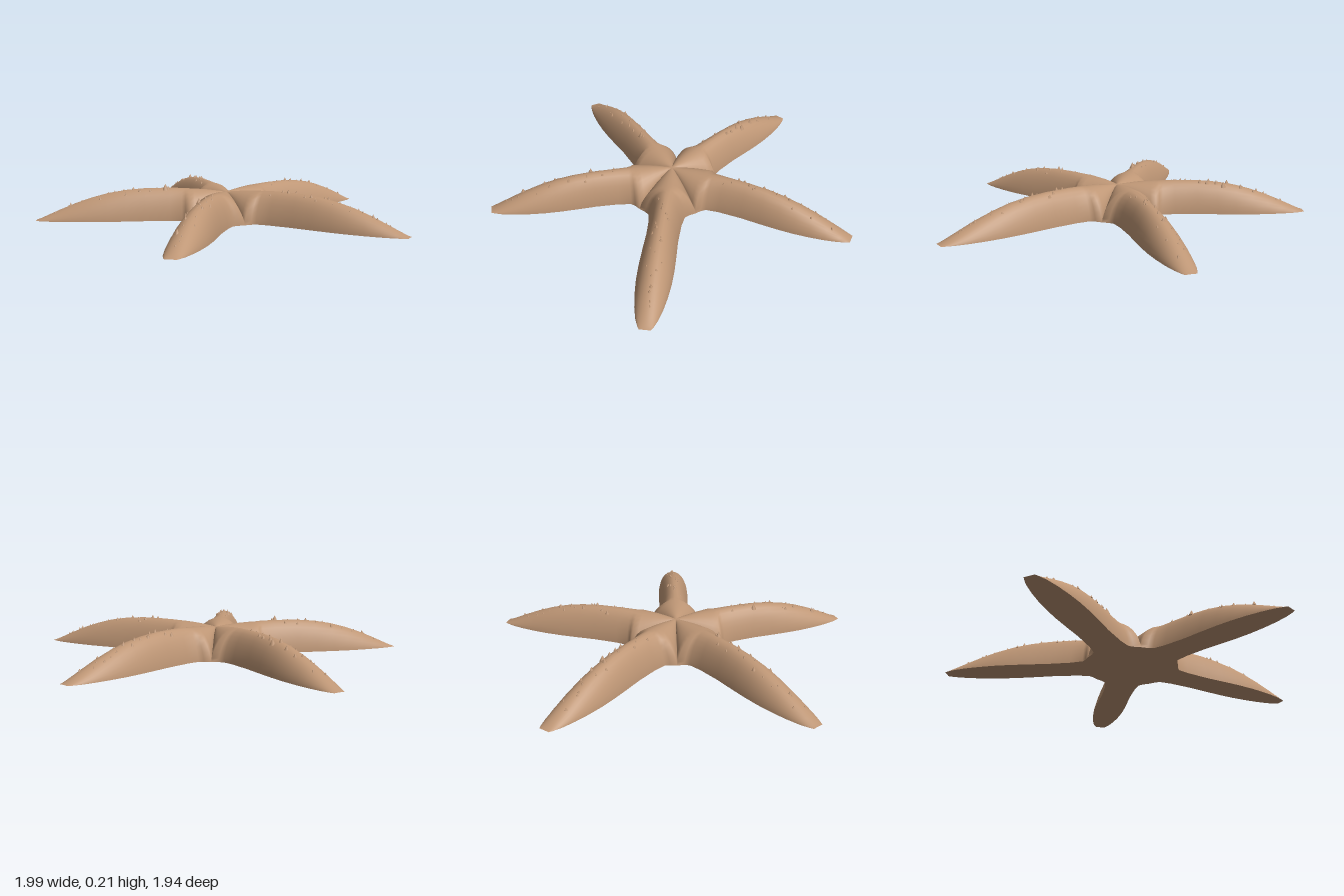
import * as THREE from 'three';
import { mergeGeometries, mergeVertices } from 'three/addons/utils/BufferGeometryUtils.js';

const CX = -0.065, CZ = -0.03, BASE = 0.01, RIM = 0.21;
const TAN = Math.tan(Math.PI / 5);
const LENGTHS = [1.06, 1.01, 1.05, 1.038, 1.03];
const armAngle = (k) => THREE.MathUtils.degToRad(7.5 + 72 * k);

// distance along the arm, half width, ridge height
const STATIONS = [
  [0, 0, 0.155], [0.03, 0, 0.16], [0.07, 0, 0.165], [0.11, 0, 0.17], [0.15, 0, 0.173], [0.18, 0, 0.175],
  [RIM, 0, 0.177], [0.23, 0.12, 0.178], [0.25, 0.1, 0.18], [0.32, 0.089, 0.182], [0.45, 0.085, 0.181],
  [0.56, 0.089, 0.172], [0.66, 0.091, 0.155], [0.75, 0.089, 0.131], [0.84, 0.081, 0.1],
  [0.92, 0.069, 0.067], [0.99, 0.053, 0.036], [1.03, 0.038, 0.018], [1.05, 0.028, 0.011],
].map(([s, w, h]) => [s, s <= RIM ? s * TAN : w, h]);

// stretch the free part of an arm to its own length
const stretch = (s, k) => (s <= 0.25 ? s : 0.25 + (s - 0.25) * (LENGTHS[k] - 0.25) / 0.8);

// position from arm coordinates: s along, w across
function place(k, s, w, y) {
  const a = armAngle(k), r = stretch(s, k);
  return [CX + r * Math.cos(a) - w * Math.sin(a), y, CZ + r * Math.sin(a) + w * Math.cos(a)];
}

// rounded cross-section; its edge rises up the web towards the centre
function heightAt(s, u, h) {
  const edge = s < RIM ? BASE + (0.155 - BASE) * (1 - Math.pow(s / RIM, 1.5)) : BASE;
  return edge + (h - edge) * Math.pow(Math.max(0, 1 - u * u), 0.65);
}

function station(s) {
  let i = 1;
  while (i < STATIONS.length - 1 && STATIONS[i][0] < s) i++;
  const a = STATIONS[i - 1], b = STATIONS[i], t = (s - a[0]) / (b[0] - a[0]);
  return [THREE.MathUtils.lerp(a[1], b[1], t), THREE.MathUtils.lerp(a[2], b[2], t)];
}

// five sectors joined into one surface
function skin(yAt, flip) {
  const N = 16, positions = [], index = [];
  for (let k = 0; k < 5; k++) {
    const start = positions.length / 3;
    STATIONS.forEach(([s, w, h], i) => {
      for (let j = 0; j <= N; j++) {
        const u = Math.sin((j / N - 0.5) * Math.PI);
        positions.push(...place(k, s, u * w, yAt(s, u, h)));
        if (i === 0 || j === 0) continue;
        const d = start + i * (N + 1) + j, c = d - 1, b = d - N - 1, a = b - 1;
        if (flip) index.push(a, c, b, b, c, d);
        else index.push(a, b, c, b, d, c);
      }
    });
  }
  const g = new THREE.BufferGeometry();
  g.setAttribute('position', new THREE.Float32BufferAttribute(positions, 3));
  g.setIndex(index);
  const merged = mergeVertices(g, 1e-4);
  merged.computeVertexNormals();
  return merged;
}

export function createModel() {
  const group = new THREE.Group();
  group.name = 'starfish';
  const sand = new THREE.MeshStandardMaterial({ color: 0xbe9675 });
  sand.name = 'sandy brown';
  const add = (name, geometry) => {
    const mesh = new THREE.Mesh(geometry, sand);
    mesh.name = name;
    group.add(mesh);
  };

  add('upperBody', skin(heightAt, false));
  // flat underside, slightly lower in the middle
  add('underside', skin((s) => BASE * Math.min(1, Math.max(0, (s - 0.12) / 0.09)), true));

  // small pointed bumps scattered along each ridge
  let seed = 7;
  const random = () => (seed = (seed * 16807) % 2147483647) / 2147483647;
  for (let k = 0; k < 5; k++) {
    const bumps = [];
    for (let n = 0; n < 20; n++) {
      const s = 0.3 + 0.66 * (n + random()) / 20;
      const u = (random() - 0.5) * 0.9;
      const size = (0.005 + 0.011 * random() * random()) * (s < 0.6 ? 1.15 : 0.9);
      const [w, h] = station(s);
      const cone = new THREE.ConeGeometry(size, size * 2, 8);
      cone.translate(...place(k, s, u * w, heightAt(s, u, h) + size * 0.5));
      bumps.push(cone);
    }
    add('armBumps' + (k + 1), mergeGeometries(bumps));
  }
  return group;
}
